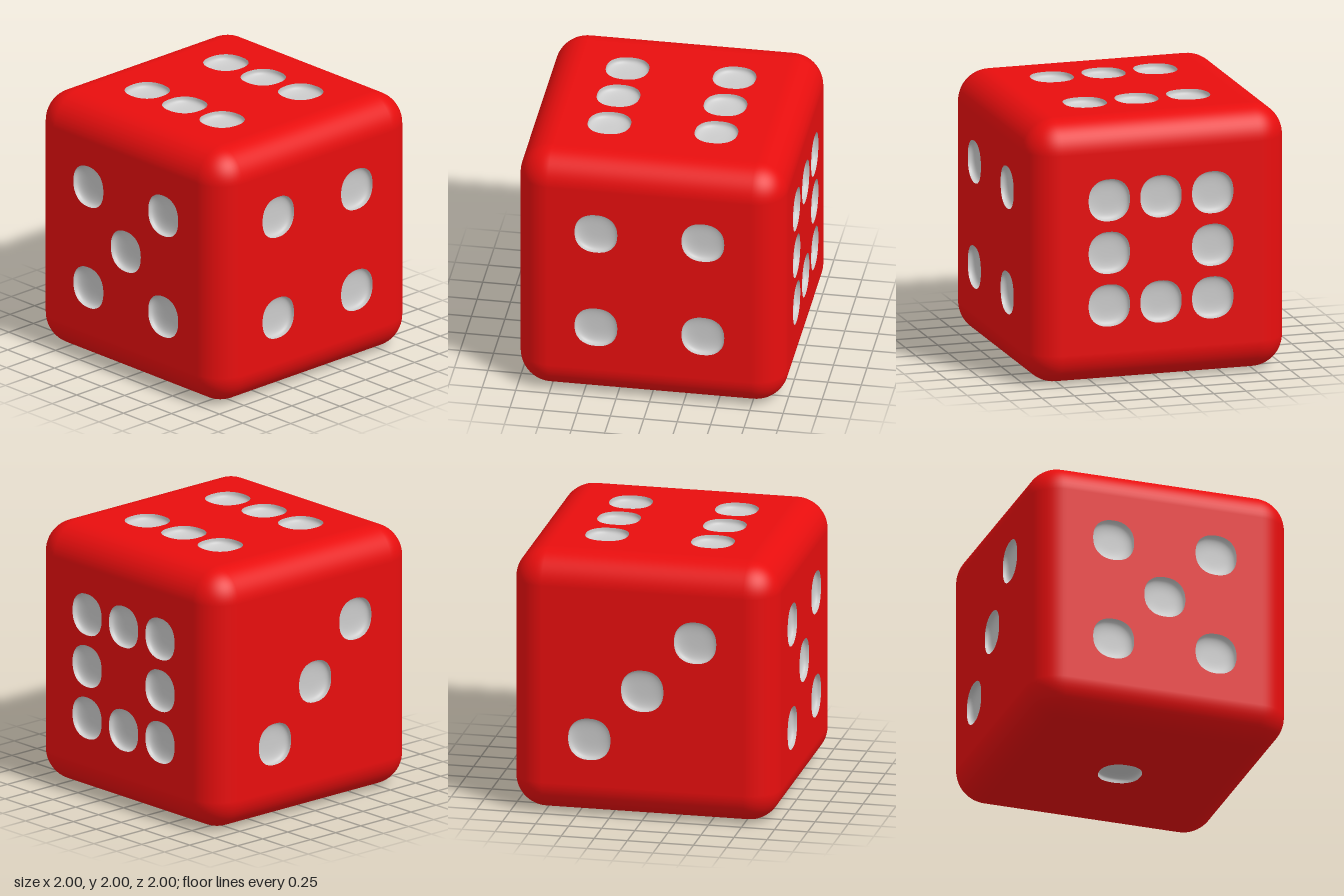
import * as THREE from 'three';
import { RoundedBoxGeometry } from 'three/addons/geometries/RoundedBoxGeometry.js';
import { mergeVertices } from 'three/addons/utils/BufferGeometryUtils.js';

const HALF = 1, ROUND = 0.24, FLAT = HALF - ROUND;
const PIP_RADIUS = 0.16, PIP_DEPTH = 0.06, PIP_SIDES = 48, SPACING = 0.4;

// Slightly squared circle: radius factor at a given angle
const squircle = (a, n = 2.3) =>
  Math.pow(Math.abs(Math.cos(a)) ** n + Math.abs(Math.sin(a)) ** n, -1 / n);

// Rounded edges and corners: a rounded box without its six flat centres
function createShell() {
  const box = new RoundedBoxGeometry(2 * HALF, 2 * HALF, 2 * HALF, 8, ROUND);
  const source = box.index ? box.toNonIndexed() : box;
  const p = source.attributes.position, n = source.attributes.normal;
  const positions = [], normals = [];
  for (let i = 0; i < p.count; i += 3) {
    const corners = [i, i + 1, i + 2];
    const flat = [0, 1, 2].some(axis => [1, -1].every(() => true) &&
      (corners.every(c => p.getComponent(c, axis) > HALF - 1e-5) ||
       corners.every(c => p.getComponent(c, axis) < -HALF + 1e-5)));
    if (flat) continue;
    for (const c of corners) {
      positions.push(p.getX(c), p.getY(c), p.getZ(c));
      normals.push(n.getX(c), n.getY(c), n.getZ(c));
    }
  }
  const shell = new THREE.BufferGeometry();
  shell.setAttribute('position', new THREE.Float32BufferAttribute(positions, 3));
  shell.setAttribute('normal', new THREE.Float32BufferAttribute(normals, 3));
  return shell;
}

// Flat square panel facing +z, with a hole for each pip
function createPanel(pips) {
  const shape = new THREE.Shape([
    new THREE.Vector2(-FLAT, -FLAT), new THREE.Vector2(FLAT, -FLAT),
    new THREE.Vector2(FLAT, FLAT), new THREE.Vector2(-FLAT, FLAT),
  ]);
  for (const [x, y] of pips) {
    const rim = [];
    for (let i = 0; i < PIP_SIDES; i++) {
      const a = -i / PIP_SIDES * Math.PI * 2;
      const r = PIP_RADIUS * squircle(a);
      rim.push(new THREE.Vector2(x * SPACING + r * Math.cos(a), y * SPACING + r * Math.sin(a)));
    }
    shape.holes.push(new THREE.Path(rim));
  }
  return new THREE.ShapeGeometry(shape);
}

// Shallow dish facing +z: steep at the rim, nearly flat in the middle
function createDish() {
  const profile = [];
  for (let i = 0; i <= 12; i++) {
    const t = i / 12 * Math.PI / 2;
    const r = i === 12 ? 0 : PIP_RADIUS * Math.pow(Math.cos(t), 0.6);
    profile.push(new THREE.Vector2(r, -PIP_DEPTH * Math.pow(Math.sin(t), 0.6)));
  }
  const dish = new THREE.LatheGeometry(profile, PIP_SIDES);
  const p = dish.attributes.position;
  for (let i = 0; i < p.count; i++) {
    const f = squircle(Math.atan2(p.getZ(i), p.getX(i)));
    p.setX(i, p.getX(i) * f);
    p.setZ(i, p.getZ(i) * f);
  }
  dish.rotateX(Math.PI / 2);
  dish.deleteAttribute('uv');
  dish.deleteAttribute('normal');
  const smooth = mergeVertices(dish, 1e-5);
  smooth.computeVertexNormals();
  return smooth;
}

export function createModel() {
  const red = new THREE.MeshStandardMaterial({ color: 0xe80e0e });
  const grey = new THREE.MeshStandardMaterial({ color: 0xcccccc });
  const model = new THREE.Group();
  model.name = 'die';

  const body = new THREE.Group();
  body.name = 'body';
  body.position.y = HALF;
  model.add(body);

  const shell = new THREE.Mesh(createShell(), red);
  shell.name = 'roundedEdges';
  body.add(shell);

  // Pip layouts, in steps from the face centre
  const corners = [[-1, -1], [1, -1], [-1, 1], [1, 1]];
  const sides = [[-1, 0], [1, 0]];
  const quarter = Math.PI / 2;
  const faces = [
    { name: 'frontFace', turn: [0, 0], pips: corners },
    { name: 'backFace', turn: [0, Math.PI], pips: [[-1, -1], [0, 0], [1, 1]] },
    { name: 'rightFace', turn: [0, quarter], pips: [...corners, ...sides, [0, -1], [0, 1]] },
    { name: 'leftFace', turn: [0, -quarter], pips: [...corners, [0, 0]] },
    { name: 'topFace', turn: [-quarter, 0], pips: [...corners, ...sides] },
    { name: 'bottomFace', turn: [quarter, 0], pips: [[0, 0]] },
  ];

  const dish = createDish();
  for (const { name, turn, pips } of faces) {
    const face = new THREE.Group();
    face.name = name;
    face.rotation.set(turn[0], turn[1], 0);
    const panel = new THREE.Mesh(createPanel(pips), red);
    panel.name = 'panel';
    panel.position.z = HALF;
    face.add(panel);
    for (const [x, y] of pips) {
      const pip = new THREE.Mesh(dish, grey);
      pip.name = 'pip';
      pip.position.set(x * SPACING, y * SPACING, HALF);
      face.add(pip);
    }
    body.add(face);
  }
  return model;
}
